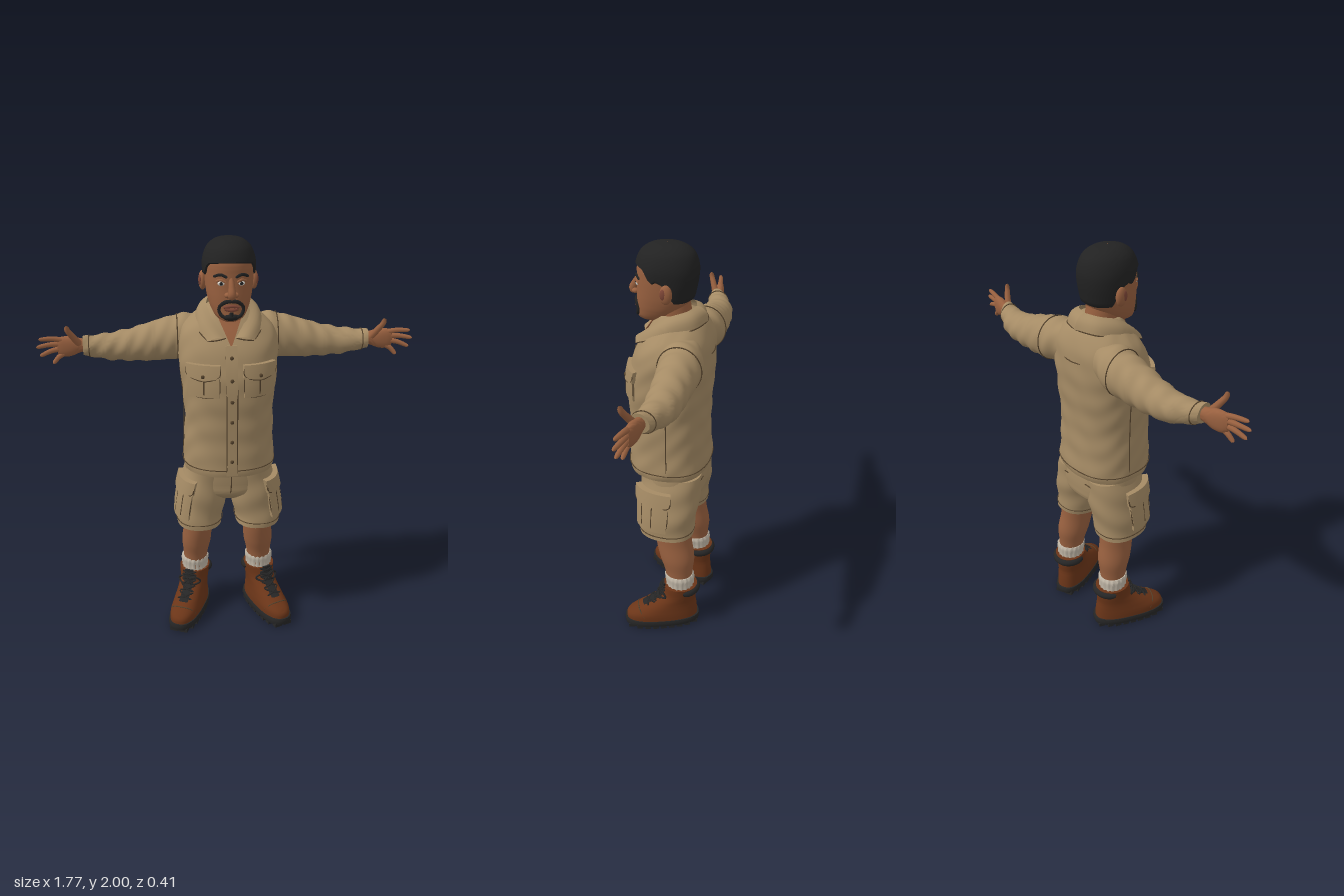
import * as THREE from 'three';
import { mergeVertices, toCreasedNormals } from 'three/addons/utils/BufferGeometryUtils.js';

const mat = (name, color, side = THREE.FrontSide) => {
  const m = new THREE.MeshStandardMaterial({ color, side });
  m.name = name;
  return m;
};
const V = (x, y, z) => new THREE.Vector3(x, y, z);

// Section table row: [t, centreA, centreB, radiusA, radiusB, power], smoothly interpolated in t
function at(rows, t) {
  let i = 0;
  while (i < rows.length - 2 && t > rows[i + 1][0]) i++;
  const a = rows[i], b = rows[i + 1], p = rows[i - 1] || a, n = rows[i + 2] || b;
  const h = b[0] - a[0], s = Math.min(1, Math.max(0, (t - a[0]) / h));
  return a.map((_, k) => {
    const ma = (b[k] - p[k]) / (b[0] - p[0]) * h, mb = (n[k] - a[k]) / (n[0] - a[0]) * h;
    return a[k] * (1 + 2 * s) * (1 - s) ** 2 + ma * s * (1 - s) ** 2 + b[k] * s * s * (3 - 2 * s) + mb * s * s * (s - 1);
  });
}
const upright = (t, a, b) => V(a, t, b);
const sideways = (t, a, b) => V(t, b, a);

// Point on a section surface at an angle, pushed out by off
function surf(rows, t, th, off = 0, map = upright) {
  const [, ca, cb, ra, rb, p] = at(rows, t), c = Math.cos(th), s = Math.sin(th);
  return map(t, ca + Math.max(0, ra + off) * Math.sign(c) * Math.abs(c) ** (2 / p),
    cb + Math.max(0, rb + off) * Math.sign(s) * Math.abs(s) ** (2 / p));
}
// Point on the front (or back) surface at x, y
const face = (rows, dir = 1) => (x, y, off = 0) => {
  const [, ca, , ra, , p] = at(rows, y), q = Math.max(-1, Math.min(1, (x - ca) / ra));
  return surf(rows, y, dir * Math.acos(Math.sign(q) * Math.abs(q) ** (p / 2)), off);
};

function grid(nu, nv, fn, crease = 0.9) {
  const pos = [], idx = [], w = nu + 1;
  for (let j = 0; j <= nv; j++) for (let i = 0; i <= nu; i++) pos.push(...fn(i / nu, j / nv).toArray());
  for (let j = 0; j < nv; j++) for (let i = 0; i < nu; i++) {
    const a = j * w + i;
    idx.push(a, a + 1, a + w + 1, a, a + w + 1, a + w);
  }
  const g = new THREE.BufferGeometry();
  g.setAttribute('position', new THREE.Float32BufferAttribute(pos, 3));
  g.setIndex(idx);
  return toCreasedNormals(mergeVertices(g, 1e-5), crease);
}
// Closed body through the sections, with optional cloth folds
function loft(rows, { map = upright, seg = 40, n = 30, fold = () => 0 } = {}) {
  const t0 = rows[0][0], t1 = rows[rows.length - 1][0];
  return grid(seg, n + 2, (u, v) => {
    const j = Math.round(v * (n + 2)), t = t0 + (t1 - t0) * Math.min(n, Math.max(0, j - 1)) / n;
    const th = -u * Math.PI * 2;
    return surf(rows, t, th, j === 0 || j === n + 2 ? -9 : fold(t, th), map);
  });
}
// Raised cloth panel whose rim sinks into the surface
function pad(fn, x0, x1, y0, y1, off, width = () => 1, n = 14) {
  return grid(n, n, (u, v) => {
    const rim = u === 0 || v === 0 || u === 1 || v === 1, m = (x0 + x1) / 2;
    const e = (k) => Math.min(1, Math.max(0, (k * n - 1) / (n - 2)));
    return fn(m + (x1 - x0) * (e(u) - 0.5) * width(e(v)), y0 + (y1 - y0) * e(v), rim ? -0.004 : off);
  });
}
// Tapered tube with rounded ends
function tube(pts, r, taper = () => 1, n = 24, seg = 8, closed = false) {
  const curve = new THREE.CatmullRomCurve3(pts, closed);
  const g = new THREE.TubeGeometry(curve, n, r, seg, closed), p = g.attributes.position, v = V();
  for (let i = 0; i < p.count && !closed; i++) {
    const u = Math.floor(i / (seg + 1)) / n, c = curve.getPointAt(u);
    v.fromBufferAttribute(p, i).sub(c).multiplyScalar(taper(u) * Math.sqrt(1 - Math.abs(2 * u - 1) ** 8)).add(c);
    p.setXYZ(i, v.x, v.y, v.z);
  }
  return g;
}
const line = (fn, pts, r = 0.0026, off = 0.002) => tube(pts.map(([x, y]) => fn(x, y, off)), r, undefined, 24, 6);
const seam = (rows, t, map, off = 0.002, r = 0.0026) => tube(
  Array.from({ length: 32 }, (_, i) => surf(rows, t, i * Math.PI / 16, off, map)), r, undefined, 64, 6, true);
const ball = (c, rx, ry, rz) => new THREE.SphereGeometry(1, 20, 14).scale(rx, ry, rz).translate(c.x, c.y, c.z);

function mirrored(geo) {
  const g = (geo.index ? geo.toNonIndexed() : geo.clone()).scale(-1, 1, 1);
  for (const a of Object.values(g.attributes)) for (let i = 0; i < a.count; i += 3) for (let k = 0; k < a.itemSize; k++) {
    const s = a.getComponent(i + 1, k);
    a.setComponent(i + 1, k, a.getComponent(i + 2, k));
    a.setComponent(i + 2, k, s);
  }
  return g;
}

export function createModel() {
  const root = new THREE.Group();
  root.name = 'man';
  const khaki = mat('khaki cloth', 0xa58b65, THREE.DoubleSide), stitch = mat('dark stitching', 0x54422c);
  const skin = mat('skin', 0x98603f), hair = mat('black hair', 0x222222), lip = mat('lips', 0x7d4636);
  const white = mat('eye white', 0xd8d2c8), sock = mat('sock wool', 0xc2b8a8);
  const leather = mat('boot leather', 0x6b3518), rubber = mat('black rubber', 0x262626);
  const add = (name, geo, m) => { const o = new THREE.Mesh(geo, m); o.name = name; root.add(o); };
  const pair = (name, geo, m) => {
    const N = name[0].toUpperCase() + name.slice(1);
    add('left' + N, geo, m);
    add('right' + N, mirrored(geo), m);
  };

  // Head and neck
  const head = [[1.645, 0, 0.1, 0.03, 0.03, 2.2], [1.66, 0, 0.08, 0.06, 0.073, 2.2], [1.7, 0, 0.055, 0.085, 0.1, 2.2],
    [1.75, 0, 0.035, 0.1, 0.122, 2.2], [1.8, 0, 0.027, 0.107, 0.128, 2.2], [1.85, 0, 0.022, 0.11, 0.132, 2.2],
    [1.9, 0, 0.021, 0.11, 0.132, 2.1], [1.95, 0, 0.02, 0.093, 0.114, 2], [1.975, 0, 0.02, 0.068, 0.085, 2],
    [1.988, 0, 0.02, 0.038, 0.047, 2], [1.992, 0, 0.02, 0.002, 0.002, 2]];
  const onHead = face(head);
  add('head', loft(head, { n: 44 }), skin);
  add('neck', loft([[1.55, 0, -0.02, 0.08, 0.09, 2], [1.64, 0, -0.012, 0.074, 0.086, 2], [1.76, 0, 0, 0.074, 0.08, 2]], { n: 10 }), skin);
  // Hair cap with a hairline that follows forehead, temples, ears and nape
  const hairline = [[-1, 1.745], [-0.45, 1.75], [-0.2, 1.82], [0.1, 1.85], [0.3, 1.835], [0.55, 1.893], [1, 1.905]];
  add('hair', grid(48, 24, (u, v) => {
    const th = -u * Math.PI * 2, f = Math.sin(th);
    const k = Math.max(1, hairline.findIndex((h) => h[0] >= f)), [a, b] = [hairline[k - 1], hairline[k]];
    const low = a[1] + (b[1] - a[1]) * (f - a[0]) / (b[0] - a[0]);
    const p = surf(head, low + (1.992 - low) * Math.sin(v * Math.PI / 2), th, v === 0 ? -0.004 : 0.009 * Math.min(1, (1 - v) * 8));
    p.y += 0.008 * v;
    return p;
  }), hair);
  pair('ear', ball(V(0.117, 1.805, -0.005), 0.018, 0.044, 0.028), skin);
  pair('earHollow', ball(V(0.127, 1.808, 0.004), 0.009, 0.026, 0.016), lip);
  add('nose', tube([V(0, 1.845, 0.145), V(0, 1.805, 0.168), V(0, 1.775, 0.18), V(0, 1.765, 0.165)], 0.021, (u) => 0.5 + 0.5 * u), skin);
  pair('nostril', ball(V(0.018, 1.772, 0.163), 0.014, 0.012, 0.016), skin);
  pair('eye', ball(onHead(0.044, 1.82, -0.007), 0.019, 0.012, 0.013), white);
  pair('iris', ball(onHead(0.043, 1.82, 0.002), 0.008, 0.008, 0.006), hair);
  pair('eyelid', line(onHead, [[0.024, 1.826], [0.045, 1.835], [0.066, 1.826]], 0.006), skin);
  pair('eyebrow', line(onHead, [[0.017, 1.846], [0.045, 1.858], [0.076, 1.846]], 0.007), hair);
  pair('moustache', line(onHead, [[-0.003, 1.744], [0.025, 1.741], [0.05, 1.722]], 0.009), hair);
  pair('beardSide', line(onHead, [[0.049, 1.727], [0.052, 1.7], [0.042, 1.68], [0.018, 1.668]], 0.008), hair);
  add('upperLip', line(onHead, [[-0.035, 1.716], [0, 1.722], [0.035, 1.716]], 0.007, 0.004), lip);
  add('lowerLip', line(onHead, [[-0.03, 1.71], [0, 1.705], [0.03, 1.71]], 0.008, 0.004), lip);
  add('goatee', ball(V(0, 1.672, 0.128), 0.043, 0.021, 0.037), hair);
  add('chinTuft', line(onHead, [[0, 1.695], [0, 1.675]], 0.009), hair);

  // Shirt body
  const torso = [[0.905, 0, 0, 0.217, 0.19, 2.4], [0.93, 0, 0, 0.222, 0.195, 2.4], [1.05, 0, 0.002, 0.215, 0.189, 2.4],
    [1.2, 0, 0.004, 0.211, 0.188, 2.4], [1.35, 0, 0, 0.224, 0.193, 2.4], [1.45, 0, -0.01, 0.232, 0.187, 2.4],
    [1.53, 0, -0.024, 0.23, 0.172, 2.4], [1.59, 0, -0.035, 0.212, 0.15, 2.3], [1.64, 0, -0.04, 0.16, 0.124, 2.2], [1.69, 0, -0.03, 0.095, 0.092, 2]];
  const chest = face(torso), back = face(torso, -1);
  add('shirtBody', loft(torso, { seg: 64, n: 60, fold: (t, a) => 0.003 * Math.sin(t * 42 + 3 * Math.sin(a * 2)) * Math.sin(a * 5 + t * 9) }), khaki);
  add('throat', pad(chest, -0.065, 0.065, 1.54, 1.685, 0.007, (v) => 0.05 + v * 0.95), skin);
  add('placket', pad(chest, -0.026, 0.026, 0.915, 1.54, 0.007), khaki);
  pair('placketSeam', line(chest, [[0.024, 0.92], [0.024, 1.1], [0.024, 1.3], [0.024, 1.53]], 0.0026, 0.007), stitch);
  for (let i = 0; i < 6; i++) add('shirtButton', ball(chest(0, 0.99 + i * 0.1, 0.009), 0.009, 0.009, 0.005), stitch);
  add('shirtHemSeam', seam(torso, 0.94), stitch);
  pair('sideSeam', tube([0.95, 1.1, 1.25, 1.4].map((y) => surf(torso, y, -0.12, 0.002)), 0.0026), stitch);
  add('backYokeSeam', line(back, [[-0.19, 1.53], [0, 1.52], [0.19, 1.53]]), stitch);

  // Chest pockets with pointed flaps
  pair('chestPocket', pad(chest, 0.055, 0.188, 1.31, 1.43, 0.012), khaki);
  pair('chestPocketSeam', line(chest, [[0.056, 1.42], [0.057, 1.33], [0.075, 1.312], [0.165, 1.312], [0.185, 1.33], [0.187, 1.42]], 0.003, 0.008), stitch);
  const flap = (x, y, off) => chest(x, y + (y < 1.43 ? Math.abs(x - 0.121) * 0.2 : 0), off);
  pair('chestFlap', pad(flap, 0.05, 0.193, 1.39, 1.46, 0.019), khaki);
  pair('chestFlapSeam', line(flap, [[0.052, 1.455], [0.053, 1.4], [0.121, 1.389], [0.189, 1.4], [0.191, 1.455]], 0.003, 0.017), stitch);
  pair('chestFlapButton', ball(chest(0.121, 1.41, 0.02), 0.009, 0.009, 0.005), stitch);
  pair('chestPleat', line(chest, [[0.121, 1.32], [0.121, 1.39]], 0.004, 0.012), stitch);

  // Folded collar
  const collarTop = new THREE.CatmullRomCurve3([V(0, 1.725, -0.115), V(0.07, 1.72, -0.085), V(0.1, 1.7, -0.015), V(0.075, 1.645, 0.068), V(0.022, 1.572, 0.135)]);
  const lowPts = [V(0, 1.66, -0.168), V(0.1, 1.655, -0.13), V(0.152, 1.632, -0.03), V(0.148, 1.6, 0.062), V(0.105, 1.56, 0.14)];
  const collarLow = new THREE.CatmullRomCurve3(lowPts);
  pair('collar', grid(24, 6, (u, v) => {
    const p = collarLow.getPoint(u).lerp(collarTop.getPoint(u), v), b = 0.012 * Math.sin(v * Math.PI);
    return p.add(V(b * Math.sin(u * 3), b, b * (u * 2 - 1)));
  }), khaki);
  pair('collarSeam', tube(lowPts, 0.003), stitch);
  pair('collarEdgeSeam', tube([lowPts[4], V(0.06, 1.566, 0.145), V(0.022, 1.572, 0.135)], 0.003), stitch);

  // Sleeves
  const arm = [[0.12, -0.095, 1.54, 0.08, 0.088, 2], [0.2, -0.095, 1.525, 0.1, 0.106, 2], [0.26, -0.1, 1.515, 0.095, 0.103, 2],
    [0.35, -0.1, 1.5, 0.086, 0.093, 2], [0.45, -0.1, 1.486, 0.078, 0.077, 2], [0.55, -0.094, 1.481, 0.068, 0.064, 2],
    [0.62, -0.075, 1.489, 0.055, 0.052, 2], [0.672, -0.06, 1.497, 0.042, 0.045, 2]];
  pair('sleeve', loft(arm, { map: sideways, n: 60, fold: (t, a) => 0.004 * Math.sin(t * 75 + 2 * Math.sin(a)) * Math.sin(a * 2 + t * 8) }), khaki);
  pair('armholeSeam', seam(arm, 0.235, sideways), stitch);
  pair('cuffSeam', seam(arm, 0.645, sideways), stitch);

  // Hands, palms forward and thumbs up
  pair('palm', loft([[0.64, -0.06, 1.498, 0.026, 0.03, 2], [0.68, -0.06, 1.5, 0.025, 0.032, 2], [0.73, -0.055, 1.498, 0.025, 0.047, 2.3],
    [0.77, -0.05, 1.498, 0.019, 0.047, 2.3], [0.79, -0.047, 1.5, 0.012, 0.036, 2.2]], { map: sideways, seg: 24, n: 16 }), skin);
  const fingers = { thumb: [V(0.685, 1.505, -0.045), V(0.715, 1.55, -0.025), V(0.735, 1.585, -0.01), V(0.738, 1.608, -0.006)],
    indexFinger: [V(0.75, 1.525, -0.05), V(0.81, 1.538, -0.042), V(0.873, 1.54, -0.028)],
    middleFinger: [V(0.75, 1.508, -0.05), V(0.82, 1.511, -0.042), V(0.886, 1.503, -0.026)],
    ringFinger: [V(0.75, 1.49, -0.05), V(0.815, 1.482, -0.042), V(0.873, 1.46, -0.03)],
    littleFinger: [V(0.74, 1.475, -0.05), V(0.785, 1.452, -0.044), V(0.815, 1.42, -0.036)] };
  for (const [name, pts] of Object.entries(fingers)) pair(name, tube(pts, name === 'thumb' ? 0.018 : 0.0145, (u) => 1 - 0.35 * u, 20), skin);

  // Shorts
  const hips = [[0.73, 0, -0.025, 0.1, 0.1, 2.3], [0.77, 0, -0.027, 0.19, 0.143, 2.4], [0.82, 0, -0.028, 0.216, 0.151, 2.4],
    [0.88, 0, -0.026, 0.213, 0.153, 2.4], [0.95, 0, -0.022, 0.203, 0.15, 2.4]];
  const shortLeg = [[0.575, 0.149, -0.018, 0.115, 0.134, 2.3], [0.62, 0.146, -0.019, 0.114, 0.136, 2.3], [0.7, 0.134, -0.023, 0.119, 0.142, 2.3],
    [0.8, 0.117, -0.027, 0.117, 0.149, 2.3], [0.9, 0.1, -0.026, 0.108, 0.146, 2.3]];
  add('shortsHips', loft(hips, { seg: 56 }), khaki);
  pair('shortsLeg', loft(shortLeg, { fold: (t, a) => 0.003 * Math.sin(t * 40 + a * 2) }), khaki);
  pair('shortsHemSeam', seam(shortLeg, 0.6), stitch);
  add('flySeam', line(face(hips), [[0, 0.78], [0.004, 0.84], [0.004, 0.9]], 0.003), stitch);
  pair('frontPocketSeam', line(face(hips), [[0.13, 0.91], [0.16, 0.86], [0.195, 0.835]], 0.003), stitch);
  pair('backPocketSeam', line(face(hips, -1), [[0.06, 0.87], [0.11, 0.865], [0.16, 0.87]], 0.003), stitch);
  const outer = (a, y, off) => surf(shortLeg, y, -a, off);
  pair('cargoPocket', pad(outer, -1.1, 0.12, 0.635, 0.8, 0.018), khaki);
  pair('cargoFlap', pad(outer, -1.15, 0.16, 0.775, 0.845, 0.026), khaki);
  pair('cargoSeam', line(outer, [[-1.08, 0.77], [-1.07, 0.66], [-0.98, 0.638], [0, 0.638], [0.1, 0.66], [0.11, 0.77]], 0.004, 0.013), stitch);
  pair('cargoFlapSeam', line(outer, [[-1.13, 0.838], [-1.12, 0.785], [-1, 0.777], [0.02, 0.777], [0.14, 0.785], [0.15, 0.838]], 0.004, 0.023), stitch);
  for (const a of [-0.3, -0.7]) pair('cargoPleat', line(outer, [[a, 0.65], [a, 0.77]], 0.004, 0.017), stitch);

  // Legs and ribbed socks
  pair('leg', loft([[0.24, 0.172, -0.09, 0.058, 0.064, 2], [0.34, 0.168, -0.085, 0.064, 0.072, 2], [0.42, 0.163, -0.075, 0.075, 0.088, 2],
    [0.52, 0.155, -0.055, 0.073, 0.092, 2], [0.64, 0.15, -0.045, 0.077, 0.095, 2]]), skin);
  pair('sock', loft([[0.2, 0.172, -0.092, 0.066, 0.07, 2], [0.27, 0.172, -0.092, 0.067, 0.071, 2], [0.305, 0.171, -0.09, 0.071, 0.075, 2],
    [0.318, 0.17, -0.088, 0.066, 0.07, 2]], { seg: 72, n: 10, fold: (t, a) => 0.0025 * Math.cos(a * 18) }), sock);

  // Boots, toes turned out
  const turn = new THREE.Matrix4().makeRotationY(0.385).setPosition(0.175, 0, -0.09);
  const boot = (name, geo, m) => pair(name, geo.applyMatrix4(turn), m);
  const upper = [[0.03, 0, 0.09, 0.077, 0.188, 2.5], [0.08, 0, 0.088, 0.077, 0.183, 2.4], [0.115, 0, 0.062, 0.073, 0.153, 2.3],
    [0.15, 0, 0.032, 0.07, 0.118, 2.2], [0.19, 0, 0.005, 0.072, 0.095, 2], [0.25, 0, -0.005, 0.078, 0.088, 2]];
  const sole = [[0.016, 0, 0.09, 0.08, 0.195, 2.6], [0.035, 0, 0.09, 0.083, 0.198, 2.6], [0.05, 0, 0.09, 0.08, 0.195, 2.6]];
  const tongue = face(upper);
  boot('bootUpper', loft(upper), leather);
  boot('bootSole', loft(sole, { n: 4 }), rubber);
  for (let k = 0; k < 9; k++) for (const s of [-1, 1]) {
    const d = -0.88 + k * 0.22, hw = 0.08 * (1 - Math.abs(d) ** 2.6) ** (1 / 2.6);
    boot('soleLug', new THREE.BoxGeometry(hw * 0.85, 0.022, 0.03).translate(s * hw * 0.55, 0.011, 0.09 + d * 0.19), rubber);
  }
  boot('paddedCollar', tube(Array.from({ length: 13 }, (_, i) => surf(upper, 0.228, -Math.PI * (i + 0.2) / 12.4, -0.004)), 0.021, undefined, 32, 10), rubber);
  boot('toeCapSeam', line(tongue, [[-0.07, 0.07], [-0.04, 0.108], [0, 0.115], [0.04, 0.108], [0.07, 0.07]], 0.003), stitch);
  boot('bootTongue', pad(tongue, -0.022, 0.022, 0.13, 0.262, 0.006), rubber);
  for (let i = 0; i < 5; i++) for (const s of [-1, 1])
    boot('lace', line(tongue, [[-0.036 * s, 0.135 + i * 0.024], [0, 0.146 + i * 0.024], [0.036 * s, 0.157 + i * 0.024]], 0.005, 0.007), rubber);
  for (const s of [-1, 1]) boot('laceBow', line(tongue, [[0, 0.215], [0.03 * s, 0.225], [0.05 * s, 0.2], [0.025 * s, 0.19], [0, 0.212]], 0.005, 0.014), rubber);
  return root;
}
